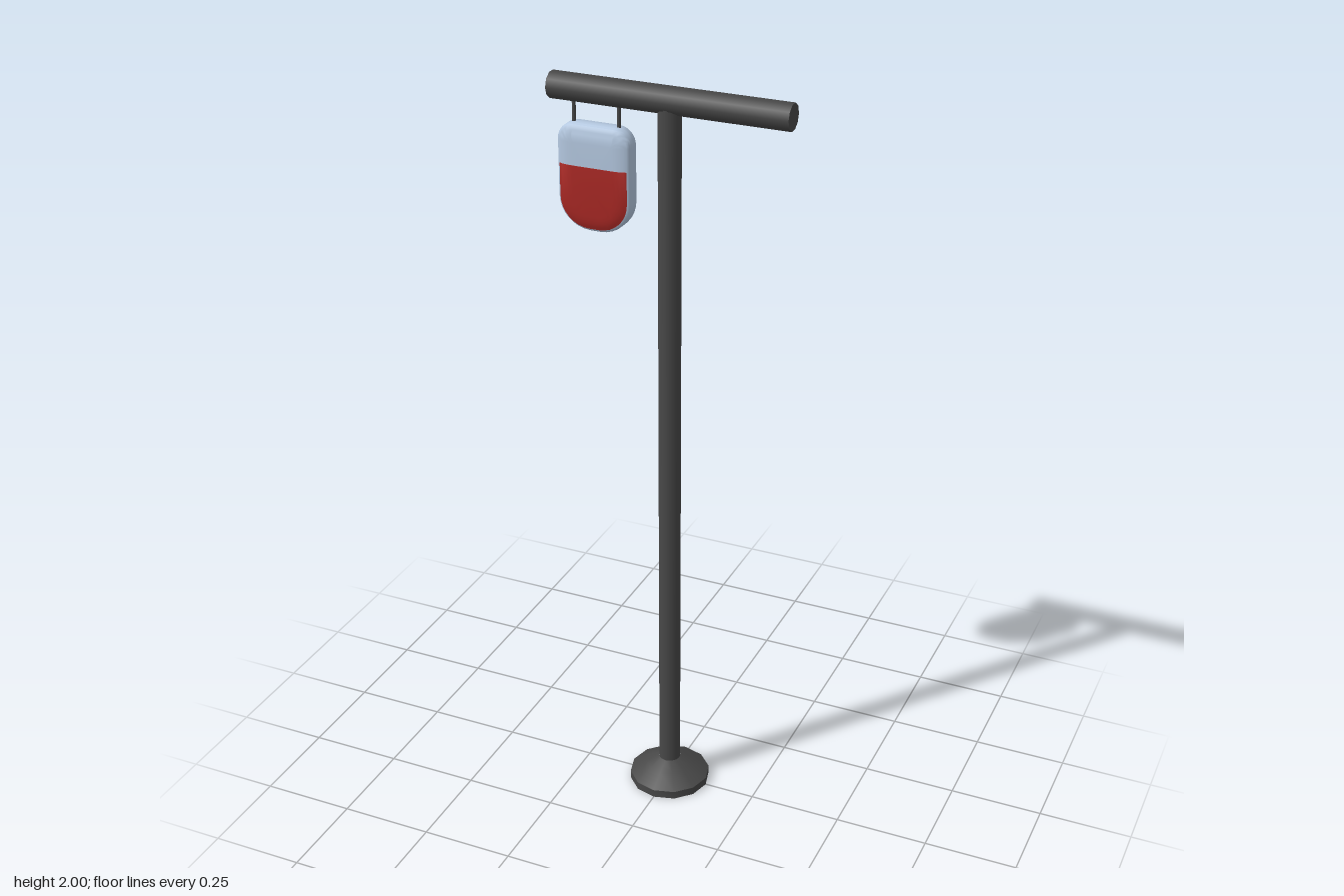
import * as THREE from 'three';
import { toCreasedNormals } from 'three/addons/utils/BufferGeometryUtils.js';

const paint = (color) => new THREE.MeshStandardMaterial({ color });

// Rounded outline, counter-clockwise from the bottom centre; same point count for any inset
function outline(w, bottom, top, rBottom, rTop) {
  const pts = [], n = 8;
  const corner = (cx, cy, r, start) => {
    for (let i = 0; i <= n; i++) {
      const a = start + (i / n) * Math.PI / 2;
      pts.push([cx + r * Math.cos(a), cy + r * Math.sin(a)]);
    }
  };
  corner(w - rBottom, bottom + rBottom, rBottom, -Math.PI / 2);
  corner(w - rTop, top - rTop, rTop, 0);
  corner(-w + rTop, top - rTop, rTop, Math.PI / 2);
  corner(-w + rBottom, bottom + rBottom, rBottom, Math.PI);
  return pts;
}

// Skin over rings of equal length, closed at the end by a centre point
function skin(rings, centre) {
  const n = rings[0].length, pos = rings.flat(2), index = [];
  for (let r = 0; r < rings.length - 1; r++) {
    for (let i = 0; i < n; i++) {
      const j = (i + 1) % n, a = r * n, b = a + n;
      index.push(a + i, a + j, b + j, a + i, b + j, b + i);
    }
  }
  const last = (rings.length - 1) * n;
  for (let i = 0; i < n; i++) index.push(last + i, last + (i + 1) % n, rings.length * n);
  const g = new THREE.BufferGeometry();
  g.setAttribute('position', new THREE.Float32BufferAttribute([...pos, ...centre], 3));
  g.setIndex(index);
  return toCreasedNormals(g, 0.7);
}

// Pillow depth at a distance d from the edge
const RIM = 0.014, DEEP = 0.03, SOFT = 0.045;
const depth = (d) => {
  const t = Math.min(1, d / SOFT);
  return RIM + (DEEP - RIM) * Math.sqrt(1 - (1 - t) ** 2);
};

export function createModel() {
  const model = new THREE.Group();
  const add = (parent, name, geometry, material, x = 0, y = 0, z = 0) => {
    const mesh = new THREE.Mesh(geometry, material);
    mesh.name = name;
    mesh.position.set(x, y, z);
    parent.add(mesh);
    return mesh;
  };
  const metal = paint(0x484848), pale = paint(0xb4c8e0), red = paint(0xa82824);

  // Flared foot with a pale underside
  const foot = [[0.11, 0], [0.11, 0.022], [0.065, 0.052], [0.03, 0.07]].map((p) => new THREE.Vector2(...p));
  add(model, 'base', toCreasedNormals(new THREE.LatheGeometry(foot, 12), 0.7), metal);
  const under = new THREE.CircleGeometry(0.11, 12);
  under.rotateX(Math.PI / 2);
  add(model, 'baseUnderside', under, pale);

  // Pole and crossbar
  add(model, 'pole', new THREE.CylinderGeometry(0.029, 0.029, 1.9, 12), metal, 0, 1.0);
  const bar = add(model, 'crossbar', new THREE.CylinderGeometry(0.034, 0.034, 0.624, 10), metal, 0, 1.9677);
  bar.rotation.z = Math.PI / 2;

  // Hanging bag
  const bag = new THREE.Group();
  bag.name = 'bag';
  bag.position.x = -0.193;
  model.add(bag);
  for (const x of [-0.06, 0.06]) {
    add(bag, 'hook', new THREE.CylinderGeometry(0.005, 0.005, 0.08, 8), metal, x, 1.915);
  }

  // Bag halves: pale shell and the red filling over it, front and back
  const W = 0.098, BOTTOM = 1.612, TOP = 1.884, LEVEL = 1.78;
  const shellRing = (d, z) => outline(W - d, BOTTOM + d, TOP - d, 0.085 - d, Math.max(0.004, 0.045 - d))
    .map(([x, y]) => [x, y, z]);
  const fillRing = (d) => outline(W - d, BOTTOM + d, LEVEL, 0.085 - d, 0.0005)
    .map(([x, y]) => [x, y, depth(d) + 0.0012]);
  const steps = [0, 0.003, 0.008, 0.015, 0.024, 0.034, SOFT];
  const shell = skin([shellRing(0, 0), ...steps.map((d) => shellRing(d, depth(d)))], [0, 1.75, DEEP]);
  const fill = skin(steps.slice(2).map(fillRing), [0, 1.72, DEEP + 0.0012]);
  for (const turn of [0, Math.PI]) {
    add(bag, 'bagShell', shell, pale).rotation.y = turn;
    add(bag, 'bagFilling', fill, red).rotation.y = turn;
  }
  return model;
}
